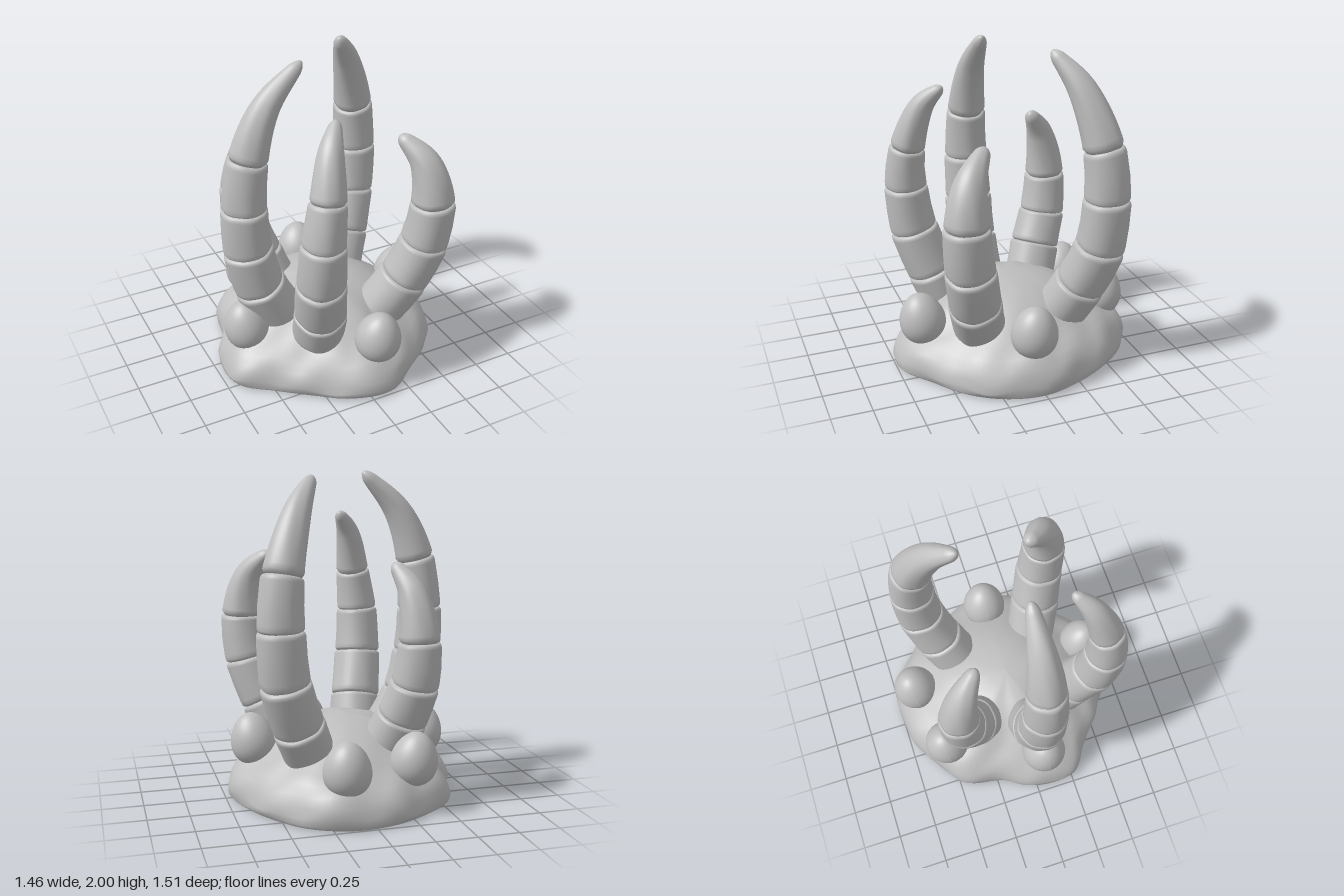
import * as THREE from 'three';

const stone = new THREE.MeshStandardMaterial({ color: 0xbfbfbf });
stone.name = 'grey stone';

// Skin a list of closed rings (all with the same point count) into a smooth surface
function loft(rings) {
  const n = rings[0].length;
  const index = [];
  for (let i = 0; i < rings.length - 1; i++) {
    for (let j = 0; j < n; j++) {
      const k = (j + 1) % n;
      const a = i * n + j, b = i * n + k, c = (i + 1) * n + k, d = (i + 1) * n + j;
      index.push(a, b, c, a, c, d);
    }
  }
  const geometry = new THREE.BufferGeometry().setFromPoints(rings.flat());
  geometry.setIndex(index);
  geometry.computeVertexNormals();
  return geometry;
}

function addMesh(parent, geometry, name) {
  const mesh = new THREE.Mesh(geometry, stone);
  mesh.name = name;
  parent.add(mesh);
  return mesh;
}

// Irregular rocky mound with a flat underside, its rim higher at the back left
function moundGeometry() {
  const radii = [0.73, 0.725, 0.71, 0.70, 0.76, 0.71, 0.65, 0.66, 0.745,
    0.71, 0.64, 0.71, 0.71, 0.74, 0.77, 0.76, 0.72, 0.71];
  const outline = new THREE.CatmullRomCurve3(radii.map((r, i) => {
    const a = (i / radii.length) * Math.PI * 2;
    return new THREE.Vector3(r * Math.cos(a), 0, r * Math.sin(a));
  }), true);
  // [scale of outline, height]; the doubled edge keeps the rim of the underside sharp
  const profile = [[0, 0], [0.97, 0], [0.97, 0], [0.995, 0.02], [1, 0.06], [0.98, 0.11], [0.945, 0.16],
    [0.88, 0.21], [0.8, 0.25], [0.7, 0.3], [0.58, 0.37], [0.45, 0.43], [0.3, 0.475], [0.15, 0.495], [0, 0.5]];
  const n = 120;
  return loft(profile.map(([s, y], i) => Array.from({ length: n }, (_, j) => {
    const t = 1 - j / n;
    const a = t * Math.PI * 2;
    const p = outline.getPoint(t % 1).multiplyScalar(s);
    p.y = y;
    if (i > 3) {
      const rough = 0.014 * s ** 3;
      p.multiplyScalar(1 + rough * Math.sin(11 * a + 9 * s));
      p.y = y * (1 + 0.1 * s * s * Math.cos(a + Math.PI / 4))
        + rough * (Math.sin(5 * a + 8 * s) + 0.7 * Math.sin(13 * a - 14 * s));
    }
    return p;
  })));
}

// Egg: narrower on top, leaning away from the centre
function addEgg(parent, x, y, z) {
  const geometry = new THREE.SphereGeometry(1, 40, 28);
  const pos = geometry.attributes.position;
  for (let i = 0; i < pos.count; i++) {
    const h = pos.getY(i);
    const r = 0.141 * (1 - 0.16 * h);
    pos.setXYZ(i, pos.getX(i) * r, h * 0.165, pos.getZ(i) * r);
  }
  geometry.computeVertexNormals();
  const egg = addMesh(parent, geometry, 'egg');
  egg.position.set(x, y, z);
  egg.quaternion.setFromAxisAngle(new THREE.Vector3(z, 0, -x).normalize(), 0.2);
}

// Curved arm along its joints; the last two spans form the claw
function addArm(parent, name, clawRadius, joints) {
  const arm = new THREE.Group();
  arm.name = name;
  parent.add(arm);
  const path = new THREE.CatmullRomCurve3(joints.map((p) => new THREE.Vector3(...p)), false, 'catmullrom');
  const spans = joints.length - 1;
  const plates = spans - 2;
  const side = new THREE.Vector3(joints[2][2], 0, -joints[2][0]).normalize();
  const n = 40;

  // Radius at a distance measured in joints: gentle taper on the plates, then down to the tip
  const girth = (s) => {
    if (s <= plates) return THREE.MathUtils.lerp(0.16, clawRadius, (s / plates) ** 2);
    const t = (s - plates) / 2;
    return clawRadius * (1 - 0.44 * t - 0.3 * t * t);
  };

  const ring = (s, factor) => {
    const u = s / spans;
    const center = path.getPoint(u);
    const tangent = path.getTangent(u);
    const across = side.clone().addScaledVector(tangent, -side.dot(tangent)).normalize();
    const out = tangent.clone().cross(across);
    const r = girth(s) * factor;
    return Array.from({ length: n }, (_, j) => {
      const a = (j / n) * Math.PI * 2;
      const k = r * (1 + 0.015 * Math.cos(4 * a) + 0.01 * Math.sin(7 * a + 20 * u));
      return center.clone()
        .addScaledVector(across, k * Math.cos(a))
        .addScaledVector(out, k * Math.sin(a));
    });
  };

  // Plates with rounded rims, leaving a groove at each joint
  const rim = [[0, 0], [0, 0.86], [0.02, 0.94], [0.06, 0.99], [0.15, 1], [0.5, 1],
    [0.9, 1.02], [0.95, 1.01], [0.985, 0.96], [1, 0.87], [1, 0]];
  for (let i = 0; i < plates; i++) {
    addMesh(arm, loft(rim.map(([t, f]) => ring(i + t, f))), 'armPlate');
  }

  // Claw with a blunt rounded tip
  const rings = [ring(plates, 0), ring(plates, 0.87)];
  const steps = 40;
  for (let i = 1; i <= steps; i++) {
    const t = Math.sin((i / steps) * Math.PI / 2);
    const start = Math.min(1, 0.9 + t * 4);
    const end = t > 0.9 ? Math.sqrt(Math.max(0, 1 - ((t - 0.9) / 0.1) ** 2)) : 1;
    rings.push(ring(plates + 2 * t, start * end));
  }
  addMesh(arm, loft(rings), 'claw');
}

export function createModel() {
  const model = new THREE.Group();
  model.name = 'clawedNest';
  addMesh(model, moundGeometry(), 'mound');

  // Three taller arms with four plates
  addArm(model, 'rightArm', 0.12, [[-0.31, 0.33, 0.07], [-0.445, 0.58, 0.07], [-0.51, 0.85, 0.07],
    [-0.525, 1.135, 0.075], [-0.495, 1.445, 0.08], [-0.375, 1.75, 0.083], [-0.15, 1.99, 0.085]]);
  addArm(model, 'frontRightArm', 0.106, [[-0.175, 0.3, 0.34], [-0.2, 0.5, 0.42], [-0.245, 0.78, 0.52],
    [-0.25, 1.07, 0.56], [-0.22, 1.33, 0.55], [-0.165, 1.585, 0.475], [-0.075, 1.73, 0.365]]);
  addArm(model, 'backLeftArm', 0.123, [[0.27, 0.3, -0.26], [0.37, 0.53, -0.36], [0.46, 0.8, -0.44],
    [0.49, 1.11, -0.46], [0.47, 1.42, -0.44], [0.37, 1.75, -0.34], [0.24, 1.97, -0.2]]);

  // Two shorter arms with three plates
  addArm(model, 'frontLeftArm', 0.133, [[0.29, 0.3, 0.27], [0.43, 0.54, 0.345], [0.525, 0.8, 0.4],
    [0.555, 1.08, 0.43], [0.515, 1.33, 0.39], [0.405, 1.495, 0.265]]);
  addArm(model, 'backRightArm', 0.126, [[-0.205, 0.33, -0.25], [-0.28, 0.53, -0.32], [-0.335, 0.74, -0.39],
    [-0.355, 1.0, -0.415], [-0.325, 1.275, -0.37], [-0.24, 1.46, -0.26]]);

  // Eggs around the rim
  addEgg(model, 0.115, 0.335, 0.585);
  addEgg(model, 0.57, 0.365, 0.02);
  addEgg(model, 0.143, 0.325, -0.61);
  addEgg(model, -0.295, 0.325, -0.515);
  addEgg(model, -0.55, 0.325, 0.09);

  return model;
}
